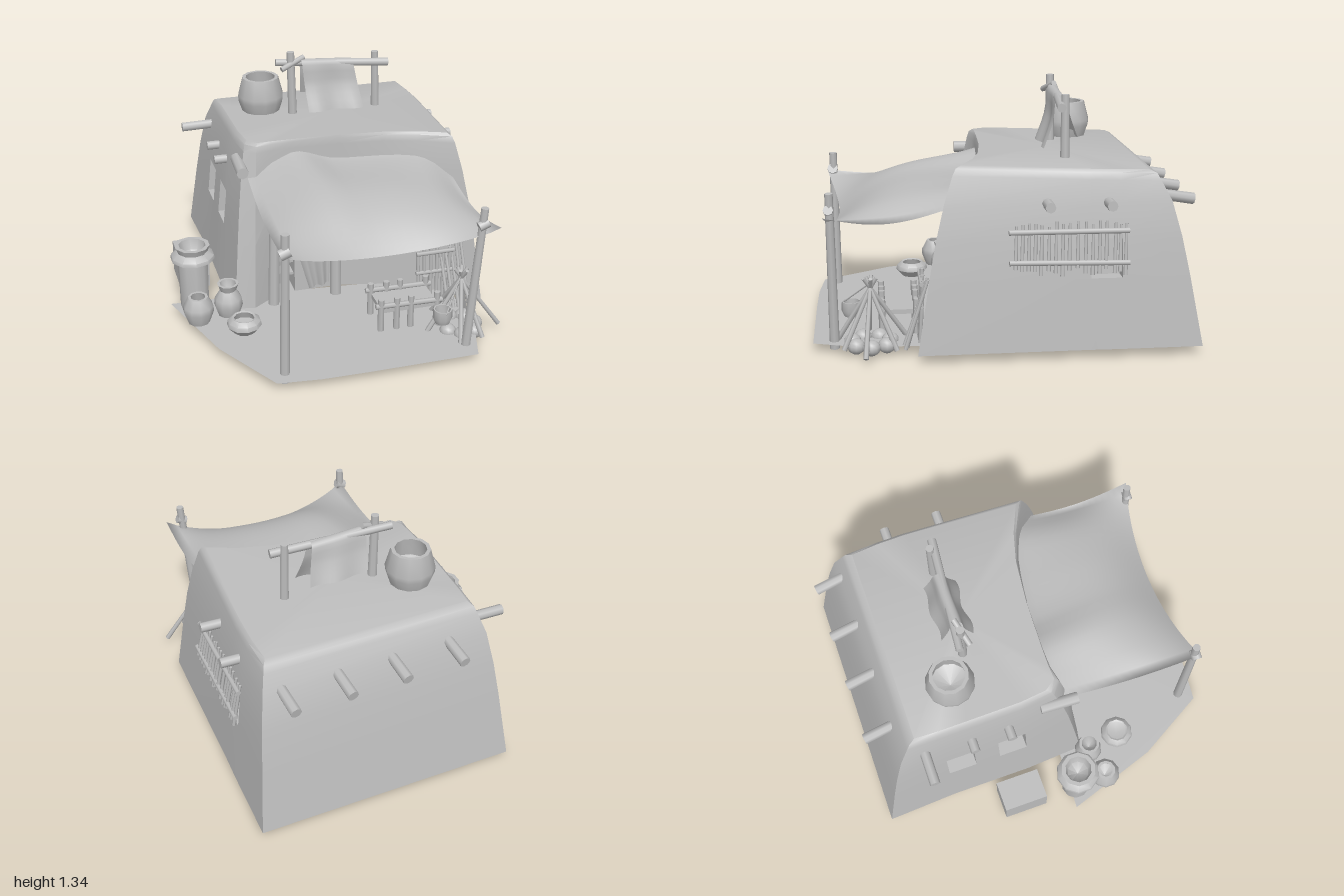
import * as THREE from 'three';
import { toCreasedNormals } from 'three/addons/utils/BufferGeometryUtils.js';
import { ParametricGeometry } from 'three/addons/geometries/ParametricGeometry.js';

export function createModel() {
  const model = new THREE.Group();
  const clay = new THREE.MeshStandardMaterial({ color: 0xbcbcbc, side: THREE.DoubleSide });
  clay.name = 'plain clay';
  const V = (p) => new THREE.Vector3(...p);
  const lerp = THREE.MathUtils.lerp;
  let seed = 7;
  const rand = () => (seed = (seed * 16807) % 2147483647) / 2147483647;

  const add = (name, geometry, pos = [0, 0, 0]) => {
    const mesh = new THREE.Mesh(geometry, clay);
    mesh.name = name;
    mesh.position.set(...pos);
    model.add(mesh);
    return mesh;
  };
  // Wooden pole between two points
  const rod = (name, a, b, r, r2 = r, sides = 8) => {
    const d = V(b).sub(V(a));
    const mesh = add(name, new THREE.CylinderGeometry(r2, r, d.length(), sides));
    mesh.position.copy(V(a).add(V(b)).multiplyScalar(0.5));
    mesh.quaternion.setFromUnitVectors(new THREE.Vector3(0, 1, 0), d.normalize());
    return mesh;
  };
  const box = (name, size, pos) => add(name, new THREE.BoxGeometry(...size), pos);
  const pot = (name, pos, profile, sides = 10) =>
    add(name, toCreasedNormals(new THREE.LatheGeometry(profile.map((p) => new THREE.Vector2(...p)), sides), 0.8), pos);
  const sheet = (name, fn, nu, nv) => add(name, new ParametricGeometry((u, v, t) => t.set(...fn(u, v)), nu, nv));

  // House: columns [base x, base z, top x, top z], going round from the back left corner
  const cols = [[-0.57, -1, -0.42, -0.75]];
  for (const z of [-0.6, -0.44, -0.3, -0.14]) cols.push([-0.55, z, -0.425, z]);
  cols.push([-0.53, 0.2, -0.41, 0.02], [-0.42, 0.22, -0.36, 0.08], [-0.29, 0.13, -0.28, 0.07],
    [-0.16, 0.1, -0.16, 0.07], [0.1, 0.1, 0.1, 0.08], [0.35, 0.16, 0.35, 0.11], [0.55, 0.26, 0.52, 0.16],
    [0.84, 0.46, 0.69, 0.24], [0.85, -0.42, 0.73, -0.42], [0.855, -0.58, 0.73, -0.58], [0.86, -1, 0.72, -0.75]);
  const levels = [[0.05, 0], [0.42, 0.28], [0.62, 0.45], [0.8, 0.65], [0.94, 0.86], [0.975, 0.94], [0.99, 1.08]];
  const at = (i, l) => {
    const [bx, bz, tx, tz] = cols[i % cols.length];
    const [y, t] = levels[l];
    const z = lerp(bz, tz, t);
    return [lerp(bx, tx, t), y - (y > 0.9 ? 0.04 * (0.2 - z) : 0), z];
  };
  // Openings, keyed by column and level, with the direction of their recess
  const recess = { '1,1': [0.09, 0, 0], '3,1': [0.09, 0, 0], '7,0': [0, 0, -0.12], '7,1': [0, 0, -0.12], '13,1': [-0.07, 0, 0] };
  const wall = [];
  const quad = (a, b, c, d) => wall.push(...a, ...b, ...c, ...a, ...c, ...d);
  for (let l = 0; l < levels.length - 1; l++) {
    for (let i = 0; i < cols.length; i++) {
      const c = [at(i, l), at(i + 1, l), at(i + 1, l + 1), at(i, l + 1)];
      const dir = recess[`${i},${l}`];
      if (!dir) { quad(...c); continue; }
      const inner = c.map((p) => p.map((v, k) => v + dir[k]));
      quad(...inner);
      c.forEach((p, k) => quad(p, c[(k + 1) % 4], inner[(k + 1) % 4], inner[k]));
    }
  }
  const top = levels.length - 1;
  for (let i = 0; i < cols.length; i++) wall.push(...at(i, top), ...at(i + 1, top), 0.15, 0.975, -0.3);
  const house = new THREE.BufferGeometry();
  house.setAttribute('position', new THREE.Float32BufferAttribute(wall, 3));
  add('houseWalls', toCreasedNormals(house, 0.65));

  // Courtyard floor
  const yard = new THREE.Shape([[-0.87, 0.05], [-0.7, 0.57], [-0.48, 0.96], [-0.25, 0.985], [0, 0.99], [0.6, 0.99],
    [0.68, 0.75], [0.7, 0.36], [0.35, 0.14], [-0.3, 0.08]].map(([x, z]) => new THREE.Vector2(x, -z)));
  add('courtyardFloor', new THREE.ShapeGeometry(yard).rotateX(-Math.PI / 2), [0, 0.05, 0]);

  // Roof beam ends
  [-0.27, 0.05, 0.35, 0.65].forEach((x) => rod('backBeam', [x + 0.02, 0.82, -0.76], [x, 0.78, -0.98], 0.028, 0.03));
  [-0.51, -0.2].forEach((z) => rod('rightBeam', [0.7, 0.8, z], [0.87, 0.805, z], 0.027));
  [-0.44, -0.23].forEach((z) => rod('leftBeam', [-0.42, 0.78, z], [-0.54, 0.78, z], 0.026));
  rod('leftLongBeam', [-0.42, 0.81, -0.7], [-0.64, 0.805, -0.7], 0.028);
  rod('cornerBeam', [-0.45, 0.86, -0.04], [-0.46, 0.86, 0.17], 0.033);

  // Wooden lattice over the right window
  rod('latticeRail', [0.815, 0.67, 0], [0.815, 0.665, -0.61], 0.014);
  rod('latticeRail', [0.84, 0.52, 0], [0.84, 0.505, -0.61], 0.014);
  for (let i = 0; i < 17; i++) {
    const z = -0.02 - i * 0.036 + (rand() - 0.5) * 0.02;
    rod('latticeBar', [0.845, 0.44 + rand() * 0.05, z], [0.8, 0.69 + rand() * 0.03, z - 0.01], 0.011, 0.007, 6);
  }

  // Roof rack with hanging cloth
  rod('rackPost', [-0.05, 0.95, -0.34], [-0.06, 1.34, -0.34], 0.026, 0.022);
  rod('rackPost', [0.45, 0.95, -0.34], [0.44, 1.3, -0.34], 0.025, 0.021);
  rod('rackBar', [-0.14, 1.275, -0.37], [0.51, 1.24, -0.31], 0.021, 0.024);
  rod('rackBrace', [-0.12, 1.25, -0.31], [0.02, 1.3, -0.35], 0.016);
  const drape = new THREE.CatmullRomCurve3([[0, 1.0, -0.25], [0, 1.15, -0.3], [0, 1.28, -0.318], [0, 1.293, -0.342],
    [0, 1.28, -0.365], [0, 1.18, -0.39], [0, 1.06, -0.43]].map(V));
  sheet('hangingCloth', (u, v) => {
    const p = drape.getPoint(v);
    const fall = (1.29 - p.y) / 0.29;
    return [lerp(0, 0.3, u) + fall * lerp(0.025, 0.05, u), p.y - 0.02 * u * (1 - fall), p.z + 0.012 * fall * Math.sin(u * 9)];
  }, 12, 20);

  // Pot on the roof
  pot('roofPot', [-0.21, 0.97, -0.46], [[0, 0], [0.11, 0], [0.13, 0.06], [0.133, 0.09], [0.105, 0.197], [0.085, 0.197], [0.1, 0.09], [0, 0.03]], 12);

  // Awning: sagging sheet from the wall to the front posts
  const ridge = new THREE.CatmullRomCurve3([[-0.42, 0.8, 0.1], [-0.28, 0.87, 0.07], [-0.14, 0.915, 0.07],
    [0.05, 0.86, 0.09], [0.35, 0.855, 0.13], [0.55, 0.85, 0.19], [0.69, 0.76, 0.32]].map(V));
  sheet('awning', (u, v) => {
    const b = ridge.getPoint(u);
    const mid = 4 * u * (1 - u);
    const front = 0.745 - 0.115 * Math.pow(mid, 0.8);
    const y = lerp(b.y, front, v) + 0.09 * Math.sin(Math.PI * Math.pow(v, 1.4)) * mid - 0.05 * Math.sin(Math.PI * v) * (1 - mid);
    return [lerp(b.x, lerp(-0.43, 0.71, u), v), y, lerp(b.z, 0.92 - 0.075 * mid, v)];
  }, 20, 16);
  rod('awningPost', [-0.42, 0, 0.88], [-0.41, 0.85, 0.885], 0.027, 0.022);
  rod('awningPost', [0.57, 0.01, 0.88], [0.63, 0.85, 0.885], 0.026, 0.021);
  rod('awningTie', [-0.44, 0.74, 0.89], [-0.39, 0.76, 0.89], 0.03);
  rod('awningTie', [0.6, 0.75, 0.89], [0.65, 0.77, 0.89], 0.026);

  // Doorway: posts, shelves and curtain
  rod('doorPost', [-0.31, 0.05, 0.2], [-0.29, 0.7, 0.18], 0.032, 0.028);
  rod('doorPost', [0.06, 0.05, 0.18], [0.06, 0.7, 0.16], 0.034, 0.03);
  [0.16, 0.24, 0.32, 0.52].forEach((y) => box('doorShelf', [0.12, 0.015, 0.09], [-0.225, y, 0.04]));
  sheet('doorCurtain', (u, v) => [lerp(lerp(-0.25, 0.03, u), lerp(-0.1, 0.02, u), v),
    lerp(0.66, 0.11 + 0.02 * u, v), 0.19 + 0.015 * Math.sin(u * 12)], 12, 6);

  // Crate and pots beside the house
  box('crate', [0.17, 0.19, 0.25], [-0.7, 0.135, -0.235]);
  pot('tallJar', [-0.74, 0.05, 0.09], [[0, 0], [0.08, 0], [0.083, 0.26], [0.08, 0.29], [0.123, 0.3], [0.12, 0.32], [0.085, 0.345],
    [0.098, 0.38], [0.075, 0.38], [0.06, 0.32], [0, 0.28]], 10);
  pot('jar', [-0.75, 0.05, 0.27], [[0, 0], [0.06, 0], [0.085, 0.07], [0.083, 0.1], [0.055, 0.155], [0.04, 0.155], [0.06, 0.08], [0, 0.03]]);
  pot('neckJar', [-0.575, 0.05, 0.23], [[0, 0], [0.06, 0], [0.08, 0.06], [0.075, 0.1], [0.045, 0.15], [0.06, 0.19], [0.045, 0.19], [0.035, 0.14], [0, 0.1]]);
  pot('bowl', [-0.53, 0.05, 0.43], [[0, 0], [0.06, 0], [0.095, 0.04], [0.09, 0.065], [0.065, 0.085], [0.055, 0.08], [0.07, 0.04], [0, 0.02]]);

  // Low bench with posts and rails
  box('benchTop', [0.32, 0.025, 0.19], [0.34, 0.17, 0.54]);
  for (const z of [0.45, 0.63]) {
    for (const x of [0.18, 0.27, 0.35, 0.5]) rod('benchPost', [x, 0.05, z], [x, 0.24, z], 0.018, 0.017, 6);
    rod('benchRail', [0.15, 0.2, z], [0.53, 0.19, z], 0.015, 0.015, 6);
  }

  // Slatted rack and stick bundle against the wall
  [0.25, 0.37].forEach((y) => rod('slatRail', [0.45, y, 0.43], [0.67, y, 0.43], 0.012, 0.012, 6));
  for (let i = 0; i < 6; i++) rod('slat', [0.47 + i * 0.035, 0.05, 0.44], [0.46 + i * 0.038, 0.36 + rand() * 0.06, 0.42], 0.01, 0.01, 6);
  for (let i = 0; i < 5; i++) rod('leaningStick', [0.62 + i * 0.03, 0.05, 0.5 + rand() * 0.04], [0.6 + i * 0.03, 0.34 + rand() * 0.08, 0.4], 0.011, 0.008, 6);

  // Fireplace: crossed poles, hearth stones and cooking pot
  const foot = [[0.83, 0.04, 0.72], [0.7, 0.03, 0.56], [0.52, 0.04, 0.5], [0.42, 0.04, 0.7], [0.55, 0.04, 0.87], [0.69, 0.04, 0.83]];
  foot.forEach(([x, y, z]) => rod('firePole', [x, y, z], [lerp(x, 0.61, 1.18), 0.4, lerp(z, 0.69, 1.18)], 0.014, 0.01, 6));
  for (let i = 0; i < 7; i++) {
    const a = (i / 7) * Math.PI * 2;
    const stone = add('hearthStone', new THREE.SphereGeometry(0.046, 10, 7), [0.61 + 0.09 * Math.cos(a), 0.05, 0.69 + 0.1 * Math.sin(a)]);
    stone.scale.y = 0.9;
  }
  pot('cookingPot', [0.47, 0.15, 0.79], [[0, 0], [0.04, 0], [0.052, 0.03], [0.05, 0.08], [0.043, 0.08], [0.04, 0.03], [0, 0.02]]);
  rod('potCord', [0.47, 0.22, 0.84], [0.6, 0.36, 0.7], 0.004, 0.004, 5);
  return model;
}
